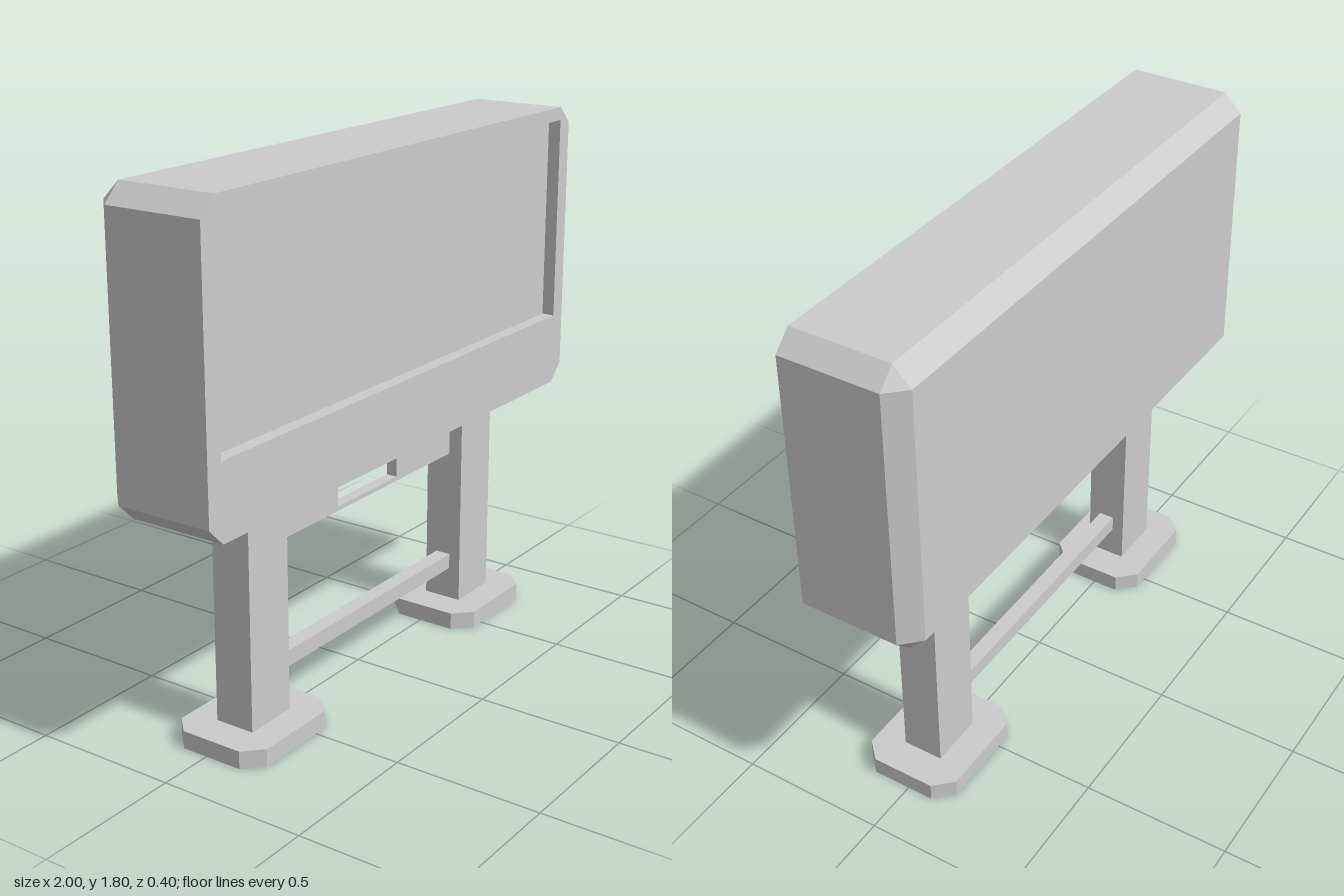
import * as THREE from 'three';
import { ConvexGeometry } from 'three/addons/geometries/ConvexGeometry.js';

const solid = new THREE.MeshStandardMaterial({ color: 0xcccccc, flatShading: true });
const thin = new THREE.MeshStandardMaterial({ color: 0xcccccc, flatShading: true, side: THREE.DoubleSide });

function add(parent, name, geometry, material = solid) {
  const mesh = new THREE.Mesh(geometry, material);
  mesh.name = name;
  parent.add(mesh);
  return mesh;
}

// Rectangle outline with cut corners, counter-clockwise, centred on (cx, cy)
function cutRect(hw, hh, c, cx = 0, cy = 0) {
  return [
    [hw - c, -hh], [hw, -hh + c], [hw, hh - c], [hw - c, hh],
    [-hw + c, hh], [-hw, hh - c], [-hw, -hh + c], [-hw + c, -hh],
  ].map(([x, y]) => new THREE.Vector2(cx + x, cy + y));
}

function rect(x0, x1, y0, y1) {
  return [[x0, y0], [x1, y0], [x1, y1], [x0, y1]].map(([x, y]) => new THREE.Vector2(x, y));
}

function shapeWithHole(outline, hole) {
  const shape = new THREE.Shape(outline);
  shape.holes.push(new THREE.Path(hole));
  return shape;
}

// Upright walls around a plan outline, open at both ends
function walls(outline, y0, y1) {
  const pos = [];
  outline.forEach((a, i) => {
    const b = outline[(i + 1) % outline.length];
    const p = [a.x, y0, -a.y], q = [b.x, y0, -b.y], r = [b.x, y1, -b.y], s = [a.x, y1, -a.y];
    pos.push(...p, ...q, ...r, ...p, ...r, ...s);
  });
  const geometry = new THREE.BufferGeometry();
  geometry.setAttribute('position', new THREE.Float32BufferAttribute(pos, 3));
  geometry.computeVertexNormals();
  return geometry;
}

export function createModel() {
  const model = new THREE.Group();
  model.name = 'signBoard';

  // Cabinet: chamfered at the corners and around the back, screen sunk in front
  const cabinet = new THREE.Group();
  cabinet.name = 'cabinet';
  model.add(cabinet);
  const screenZ = 0.155;
  const outline = cutRect(1, 0.5, 0.06, 0, 1.3);
  const points = [];
  for (const z of [screenZ, -0.14]) outline.forEach((p) => points.push(new THREE.Vector3(p.x, p.y, z)));
  rect(-0.94, 0.94, 0.86, 1.74).forEach((p) => points.push(new THREE.Vector3(p.x, p.y, -0.2)));
  add(cabinet, 'cabinetBody', new ConvexGeometry(points));
  const frame = shapeWithHole(outline, rect(-0.94, 0.94, 1.05, 1.755));
  add(cabinet, 'screenFrame',
    new THREE.ExtrudeGeometry(frame, { depth: 0.2 - screenZ, bevelEnabled: false })).position.z = screenZ;

  // Hollow legs on open-bottomed feet
  for (const [side, x] of [['left', 0.6], ['right', -0.6]]) {
    const support = new THREE.Group();
    support.name = side + 'Support';
    support.position.set(x, 0, 0.02);
    const legPlan = rect(-0.095, 0.095, -0.07, 0.07);
    const footPlan = cutRect(0.21, 0.17, 0.06);
    add(support, side + 'Leg', walls(legPlan, 0.06, 0.8), thin);
    add(support, side + 'FootSides', walls(footPlan, 0, 0.06), thin);
    const plate = new THREE.ShapeGeometry(shapeWithHole(footPlan, legPlan)).rotateX(-Math.PI / 2);
    add(support, side + 'FootTop', plate, thin).position.y = 0.06;
    model.add(support);
  }

  // Upper crossbar with a window, and a plain lower bar
  const upper = shapeWithHole(rect(-0.505, 0.505, 0.615, 0.75), rect(-0.17, 0.17, 0.63, 0.735));
  add(model, 'upperCrossbar',
    new THREE.ExtrudeGeometry(upper, { depth: 0.04, bevelEnabled: false }));
  add(model, 'lowerCrossbar', new THREE.BoxGeometry(1.01, 0.055, 0.055)).position.set(0, 0.2025, 0.02);

  return model;
}
